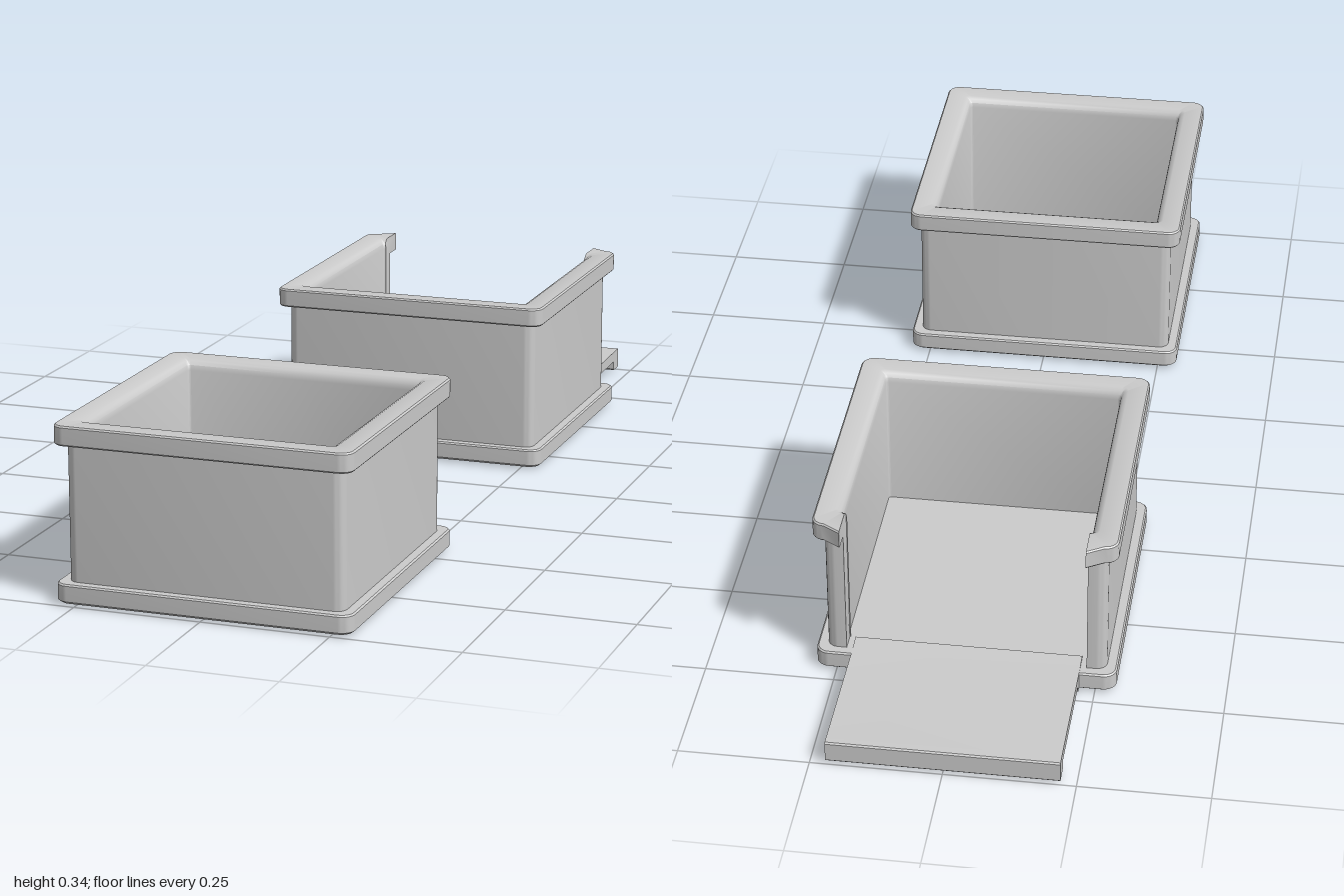
import * as THREE from 'three';
import { toCreasedNormals } from 'three/addons/utils/BufferGeometryUtils.js';

const material = new THREE.MeshStandardMaterial({ color: 0xcccccc });

// Rounded square in plan, from the middle of the back round to it again.
// cut leaves an opening at the back, flare pushes its two ends outward.
function ring(half, radius, y, cut, flare) {
  const pts = [new THREE.Vector3(cut, y, -half - flare)];
  const c = half - radius;
  for (const [sx, sz, start] of [[1, -1, -90], [1, 1, 0], [-1, 1, 90], [-1, -1, 180]]) {
    for (let k = 0; k <= 6; k++) {
      const a = THREE.MathUtils.degToRad(start + k * 15);
      pts.push(new THREE.Vector3(sx * c + radius * Math.cos(a), y, sz * c + radius * Math.sin(a)));
    }
  }
  pts.push(new THREE.Vector3(-cut, y, -half - flare));
  return pts;
}

// Skins a list of [half width, y, corner radius, flare] steps
function loft(profile, cut = 0, closed = false) {
  const rings = profile.map(([h, y, r, f = 0]) => ring(h, r, y, cut, cut ? f : 0));
  const pos = [];
  const tri = (...v) => v.forEach(p => pos.push(p.x, p.y, p.z));
  const n = rings.length;
  for (let i = 0; i < (closed ? n : n - 1); i++) {
    const lo = rings[i], hi = rings[(i + 1) % n];
    for (let j = 0; j < lo.length - 1; j++) {
      tri(lo[j], hi[j], hi[j + 1]);
      tri(lo[j], hi[j + 1], lo[j + 1]);
    }
  }
  // Close the two cut ends
  if (cut) {
    for (const [end, s] of [[0, 1], [rings[0].length - 1, -1]]) {
      const pts = rings.map(r => r[end]);
      const flat = pts.map(p => new THREE.Vector2(p.z, p.y));
      for (const [a, b, c] of THREE.ShapeUtils.triangulateShape(flat, [])) {
        const nx = new THREE.Vector3().subVectors(pts[b], pts[a])
          .cross(new THREE.Vector3().subVectors(pts[c], pts[a])).x;
        // the ends face the middle of the opening
        if (nx * s < 0) tri(pts[a], pts[b], pts[c]);
        else tri(pts[a], pts[c], pts[b]);
      }
    }
  }
  const g = new THREE.BufferGeometry();
  g.setAttribute('position', new THREE.Float32BufferAttribute(pos, 3));
  return toCreasedNormals(g, 0.6);
}

function part(name, geometry) {
  const mesh = new THREE.Mesh(geometry, material);
  mesh.name = name;
  return mesh;
}

const BASE = [
  [0, 0, 0], [0.23, 0, 0.02], [0.284, 0.004, 0.022], [0.29, 0.009, 0.025],
  [0.29, 0.039, 0.025], [0.287, 0.042, 0.022], [0, 0.042, 0],
];
const WALLS = [
  [0.27, 0.038, 0.02], [0.27, 0.305, 0.02],
  [0.287, 0.305, 0.022, 0.02], [0.29, 0.308, 0.025, 0.02],
  [0.29, 0.34, 0.025, 0.02], [0.287, 0.343, 0.022, 0.02],
  [0.25, 0.343, 0.012], [0.242, 0.339, 0.008], [0.237, 0.332, 0.006],
  [0.235, 0.322, 0.005], [0.235, 0.038, 0.005],
];

function box(name, z, cut) {
  const group = new THREE.Group();
  group.name = name;
  group.add(part('base', loft(BASE)));
  group.add(part('wallsAndRim', loft(WALLS, cut, true)));
  group.position.z = z;
  return group;
}

// Back wall folded down flat, its piece of rim hanging at the far end
function foldedWall() {
  const outline = [
    [0.67, 0.036], [0.67, 0.046], [0.71, 0.043], [0.98, 0.05], [0.997, 0.05], [1, 0.047],
    [1, 0.01], [0.997, 0.007], [0.965, 0.007], [0.962, 0.01], [0.962, 0.027],
    [0.735, 0.022], [0.731, 0.007], [0.721, 0.007], [0.718, 0.036],
  ].map(p => new THREE.Vector2(...p));
  const width = 0.44;
  const g = new THREE.ExtrudeGeometry(new THREE.Shape(outline), { depth: width, bevelEnabled: false });
  g.translate(0, 0, -width / 2).rotateY(Math.PI / 2);
  return part('foldedWall', toCreasedNormals(g, 0.4));
}

export function createModel() {
  const model = new THREE.Group();
  model.name = 'planterBoxes';
  model.add(box('closedBox', 0.71, 0));
  model.add(box('openBox', -0.43, 0.232));
  model.add(foldedWall());
  return model;
}
